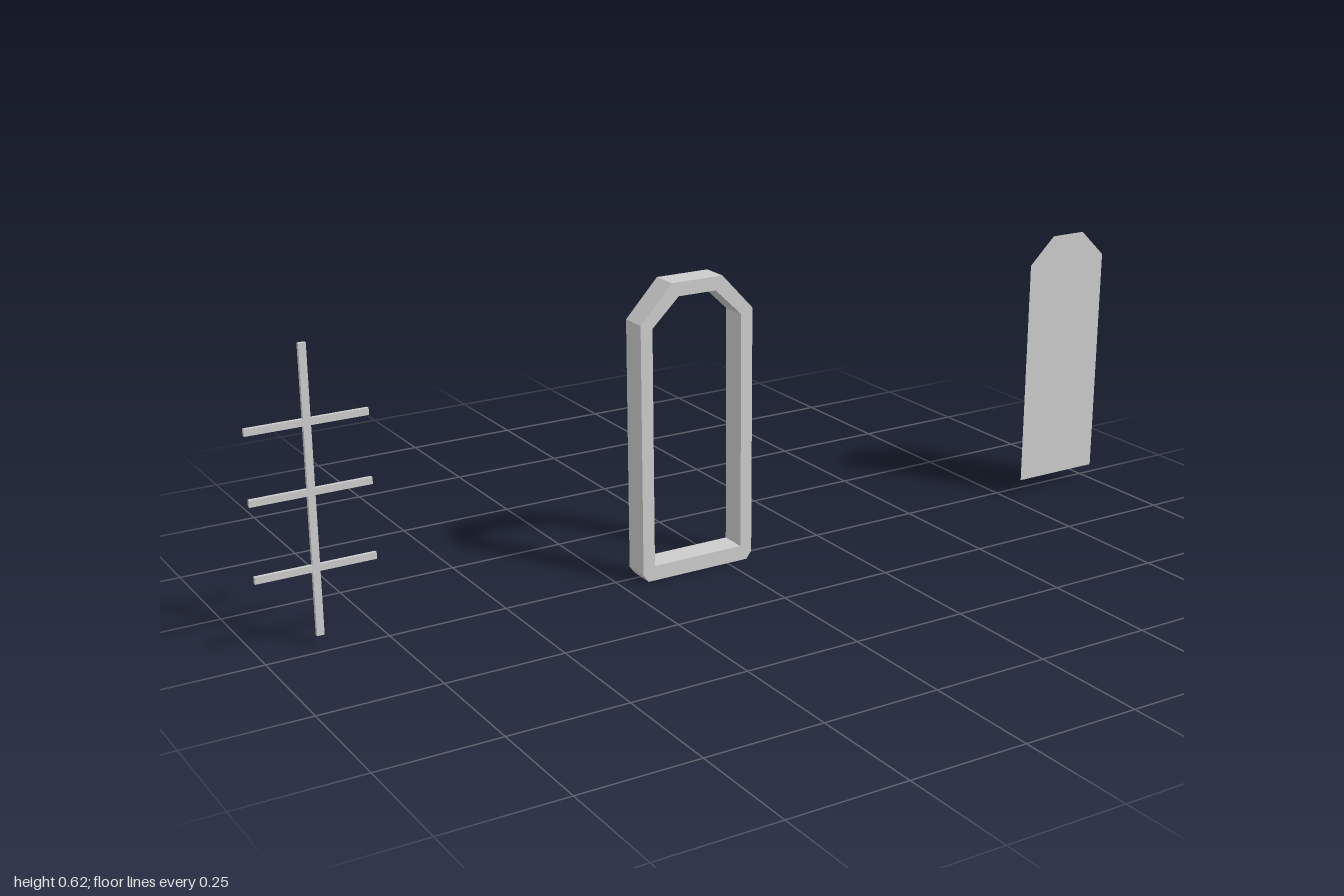
import * as THREE from 'three';

const grey = new THREE.MeshStandardMaterial({ color: 0xcccccc, flatShading: true });
const sheet = new THREE.MeshStandardMaterial({ color: 0xcccccc, side: THREE.DoubleSide });

const toPoints = (list) => list.map(([x, y]) => new THREE.Vector2(x, y));

// Symmetric outline from its right half, listed bottom to top
function mirrored(half) {
  const left = half.map(([x, y]) => [-x, y]).reverse();
  return toPoints([...half, ...left]);
}

export function createModel() {
  const group = new THREE.Group();
  const add = (name, geometry, material, x, y, z) => {
    const mesh = new THREE.Mesh(geometry, material);
    mesh.name = name;
    mesh.position.set(x, y, z);
    group.add(mesh);
  };

  // Window frame with clipped corners and an open middle
  const outline = new THREE.Shape(
    mirrored([[0.119, 0], [0.131, 0.016], [0.131, 0.547], [0.059, 0.624]]));
  outline.holes.push(new THREE.Path(
    mirrored([[0.104, 0.032], [0.104, 0.537], [0.043, 0.595]])));
  add('windowFrame',
    new THREE.ExtrudeGeometry(outline, { depth: 0.058, bevelEnabled: false }),
    grey, -0.072, 0, -0.025);

  // Flat pane that matches the opening
  const pane = new THREE.Shape(
    mirrored([[0.104, 0.033], [0.104, 0.537], [0.042, 0.596]]));
  add('windowPane', new THREE.ShapeGeometry(pane), sheet, 0.896, 0, 0.033);

  // Lattice: one upright and three crossbars
  const barZ = -0.029, barDepth = 0.008;
  add('latticeUpright', new THREE.BoxGeometry(0.015, 0.58, barDepth), grey, -0.879, 0.312, barZ);
  for (const y of [0.16, 0.3125, 0.45]) {
    add('latticeCrossbar', new THREE.BoxGeometry(0.243, 0.014, barDepth), grey, -0.8785, y, barZ);
  }

  return group;
}
